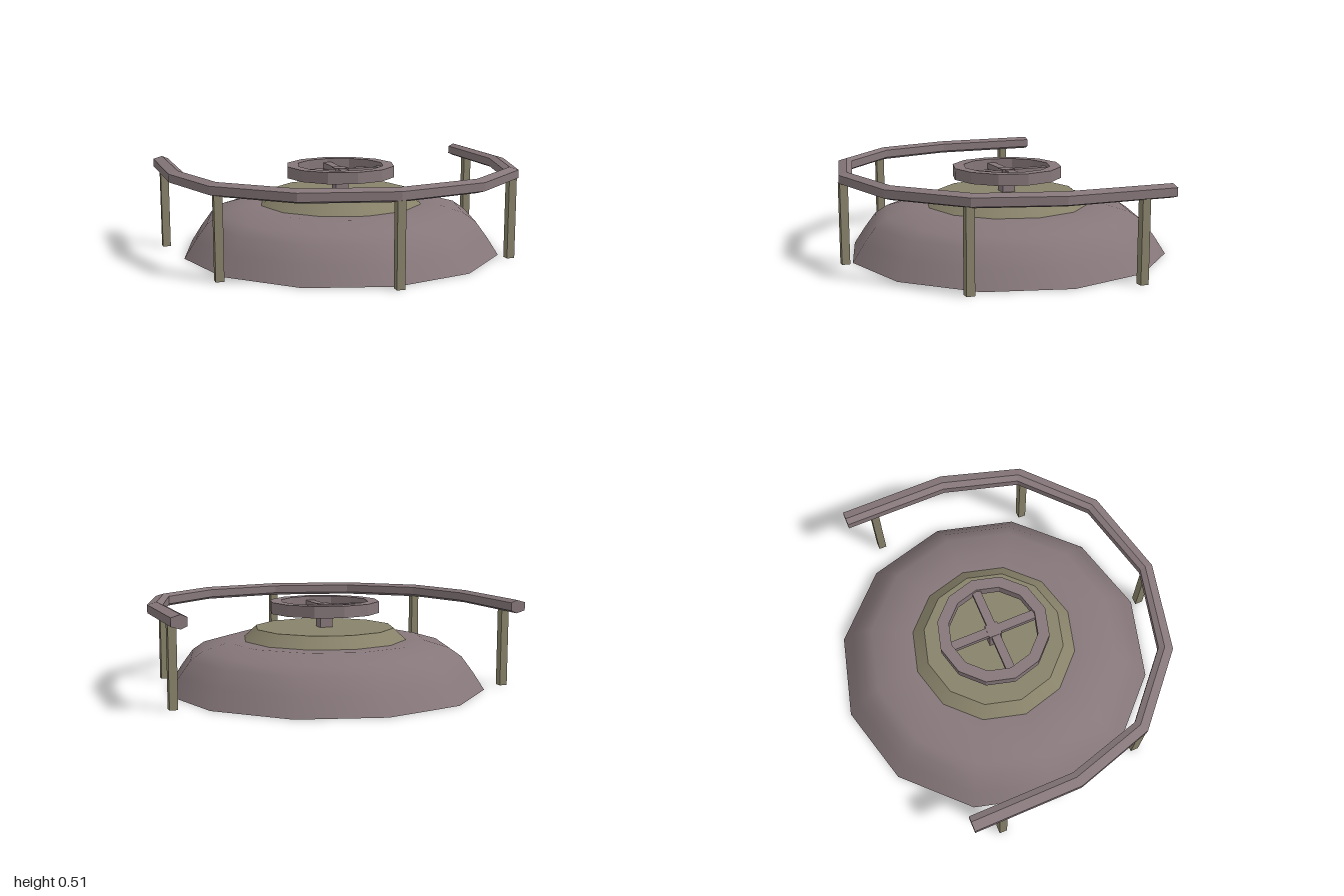
import * as THREE from 'three';

const CENTRE_Z = -0.035;
const SIDES = 12;

// Split shared vertices so every facet shades flat
function faceted(geometry) {
  const g = geometry.index ? geometry.toNonIndexed() : geometry;
  g.computeVertexNormals();
  return g;
}

function lathe(points) {
  return new THREE.LatheGeometry(points.map(([r, y]) => new THREE.Vector2(r, y)), SIDES);
}

// Six-sided bar swept along paired outer and inner outlines
function railGeometry() {
  // outer x, outer z, inner x, inner z
  const half = [
    [1, -0.56, 0.915, -0.56],
    [1, 0.05, 0.915, 0.035],
    [0.865, 0.5, 0.795, 0.455],
    [0.5, 0.83, 0.46, 0.76],
  ];
  const mirrored = half.map(([a, b, c, d]) => [-a, b, -c, d]).reverse();
  const stations = [...half, [0, 0.945, 0, 0.87], ...mirrored];
  // fraction from outer to inner, height
  const section = [[0, 0.495], [0, 0.45], [0.6, 0.435], [1, 0.45], [1, 0.495], [0.6, 0.51]];
  const n = section.length;
  const positions = [];
  for (const [ox, oz, ix, iz] of stations) {
    for (const [t, y] of section) positions.push(ox + (ix - ox) * t, y, oz + (iz - oz) * t);
  }
  const index = [];
  const last = (stations.length - 1) * n;
  for (let s = 0; s < last; s += n) {
    for (let j = 0; j < n; j++) {
      const k = (j + 1) % n;
      const a = s + j, b = s + k, c = s + n + k, d = s + n + j;
      index.push(a, c, b, a, d, c);
    }
  }
  for (let j = 1; j < n - 1; j++) {
    index.push(0, j, j + 1, last, last + j + 1, last + j);
  }
  const g = new THREE.BufferGeometry();
  g.setAttribute('position', new THREE.Float32BufferAttribute(positions, 3));
  g.setIndex(index);
  return faceted(g);
}

export function createModel() {
  const mauve = new THREE.MeshStandardMaterial({ color: 0x86777a });
  const mauveShell = new THREE.MeshStandardMaterial({ color: 0x86777a, side: THREE.DoubleSide });
  const olive = new THREE.MeshStandardMaterial({ color: 0x88826a, side: THREE.DoubleSide });
  mauve.name = 'mauve';
  mauveShell.name = 'mauveShell';
  olive.name = 'olive';

  const model = new THREE.Group();
  model.name = 'valveStation';
  const add = (parent, name, geometry, material, x = 0, y = 0, z = 0) => {
    const mesh = new THREE.Mesh(geometry, material);
    mesh.name = name;
    mesh.position.set(x, y, z);
    parent.add(mesh);
    return mesh;
  };

  const body = new THREE.Group();
  body.name = 'body';
  body.position.z = CENTRE_Z;
  model.add(body);

  // Hollow dome, open below and at the collar
  add(body, 'dome', lathe([
    [0.915, 0], [0.85, 0.1], [0.785, 0.187], [0.715, 0.235], [0.575, 0.275], [0.47, 0.275],
  ]), mauveShell);

  // Tapered collar with a flat lid
  add(body, 'collar', new THREE.CylinderGeometry(0.4, 0.47, 0.065, SIDES, 1, true), olive, 0, 0.3075);
  add(body, 'lid', new THREE.CircleGeometry(0.4, SIDES).rotateX(-Math.PI / 2), olive, 0, 0.34);

  // Hand wheel
  const wheel = new THREE.Group();
  wheel.name = 'handWheel';
  body.add(wheel);
  add(wheel, 'wheelRim', faceted(lathe([
    [0.315, 0.425], [0.315, 0.49], [0.25, 0.49], [0.25, 0.425], [0.315, 0.425],
  ])), mauve);
  add(wheel, 'spokeAcross', new THREE.BoxGeometry(0.52, 0.035, 0.05), mauve, 0, 0.45);
  add(wheel, 'spokeAlong', new THREE.BoxGeometry(0.05, 0.035, 0.52), mauve, 0, 0.45);
  add(wheel, 'stem', new THREE.BoxGeometry(0.075, 0.136, 0.075), mauve, 0, 0.404);

  // Guard rail and its posts
  add(model, 'guardRail', railGeometry(), mauve);
  const post = new THREE.BoxGeometry(0.045, 0.45, 0.045);
  const posts = [[0, 0.922], [0.823, 0.497], [-0.823, 0.497], [0.963, -0.392], [-0.963, -0.392]];
  for (const [x, z] of posts) add(model, 'railPost', post, olive, x, 0.225, z);

  return model;
}
